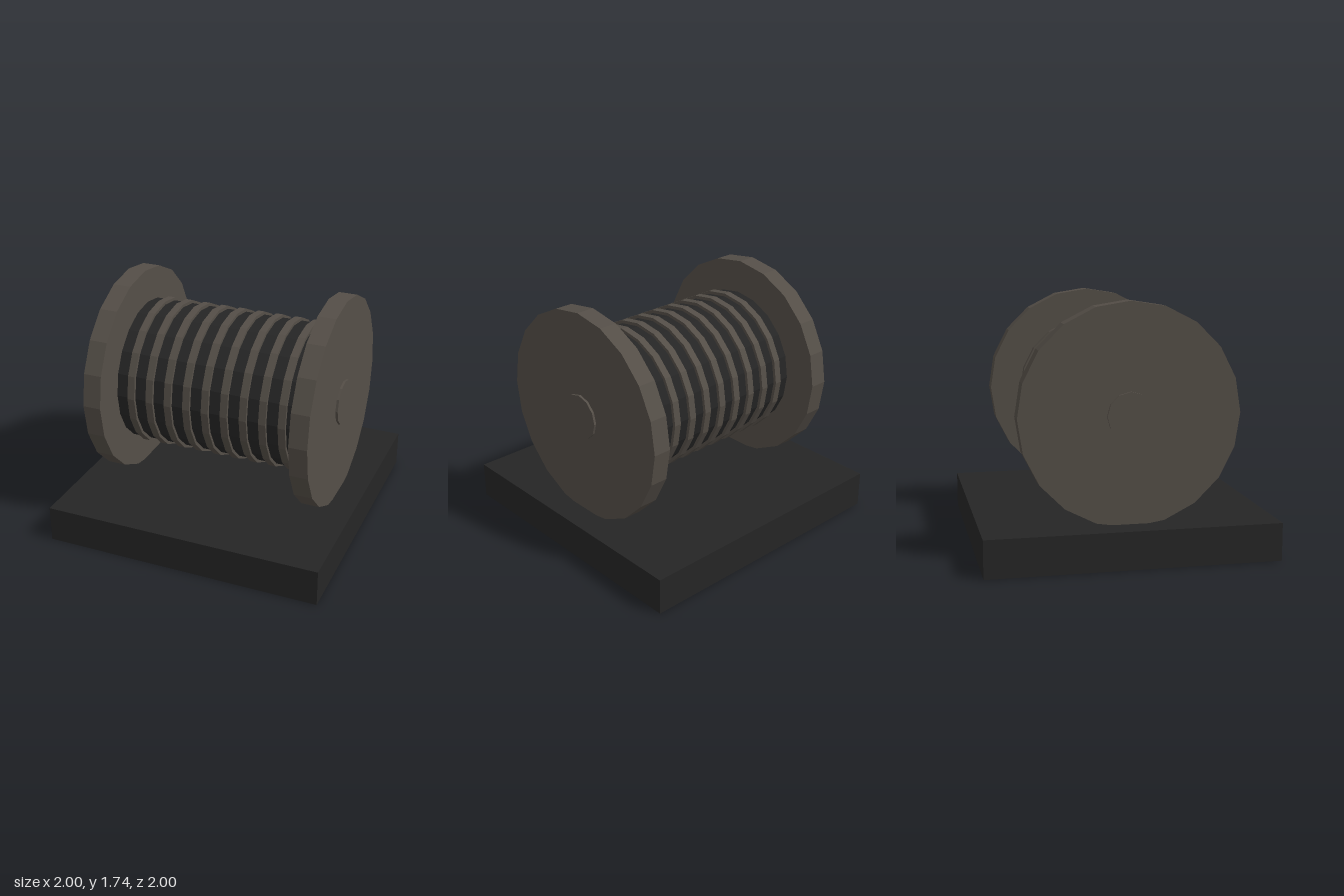
import * as THREE from 'three';

export function createModel() {
  const model = new THREE.Group();
  model.name = 'cableDrumOnBase';

  const black = new THREE.MeshStandardMaterial({ color: 0x252525, flatShading: true });
  black.name = 'matte black';
  const metal = new THREE.MeshStandardMaterial({ color: 0x544e47, flatShading: true });
  metal.name = 'warm grey metal';

  const axisY = 0.99;

  // Disc or drum lying along x, with a corner pointing straight up
  function roller(name, radius, width, x, sides, material) {
    const geometry = new THREE.CylinderGeometry(radius, radius, width, sides);
    geometry.rotateY(Math.PI / 2);
    geometry.rotateZ(Math.PI / 2);
    const mesh = new THREE.Mesh(geometry, material);
    mesh.name = name;
    mesh.position.set(x, axisY, 0);
    model.add(mesh);
  }

  // Square base slab
  const base = new THREE.Mesh(new THREE.BoxGeometry(2, 0.26, 2), black);
  base.name = 'base';
  base.position.y = 0.13;
  model.add(base);

  // Axle and drum core
  roller('axle', 0.16, 1.665, 0, 12, metal);
  roller('drum', 0.515, 1.35, 0, 20, black);

  // Raised bands around the drum
  for (let i = -4; i <= 4; i++) {
    roller('band', 0.537, 0.052, i * 0.14, 20, metal);
  }

  // End flanges
  for (const side of [-1, 1]) {
    roller(side > 0 ? 'leftFlange' : 'rightFlange', 0.75, 0.13, side * 0.751, 20, metal);
  }

  return model;
}
